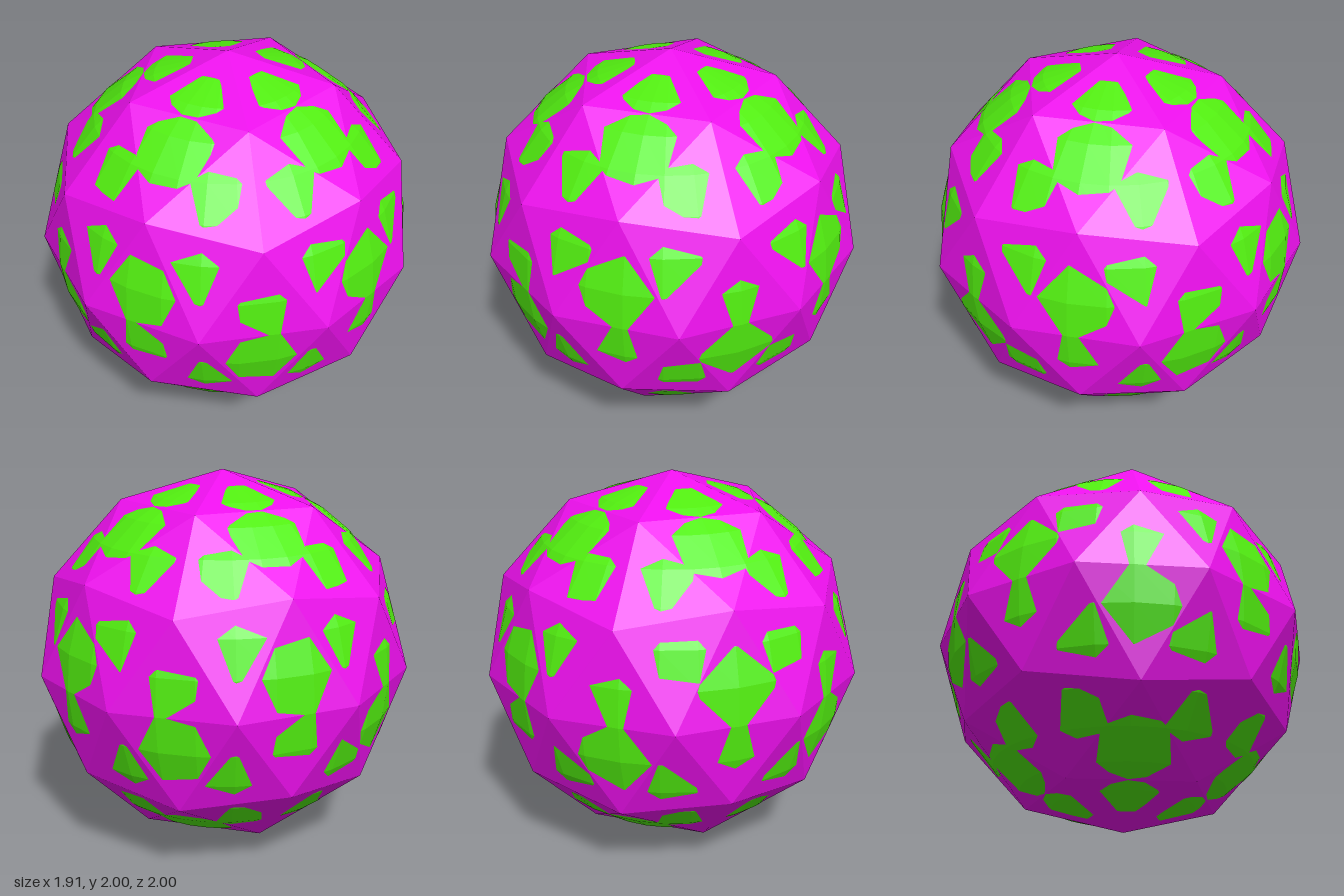
import * as THREE from 'three';

function addPart(group, name, geometry, color) {
  const material = new THREE.MeshStandardMaterial({ color, flatShading: true });
  const mesh = new THREE.Mesh(geometry, material);
  mesh.name = name;
  mesh.position.y = 1;
  group.add(mesh);
}

export function createModel() {
  const group = new THREE.Group();
  group.name = 'patchedBall';

  // faceted ball: once-subdivided icosahedron, tipped so a corner points straight up
  const shell = new THREE.IcosahedronGeometry(1, 1);
  shell.rotateZ(-Math.atan(2 / (1 + Math.sqrt(5))));
  addPart(group, 'facetedShell', shell, 0xee10ee);

  // slightly smaller sphere that breaks through the middle of every facet
  addPart(group, 'innerSphere', new THREE.SphereGeometry(0.955, 32, 16), 0x52ee10);

  return group;
}
